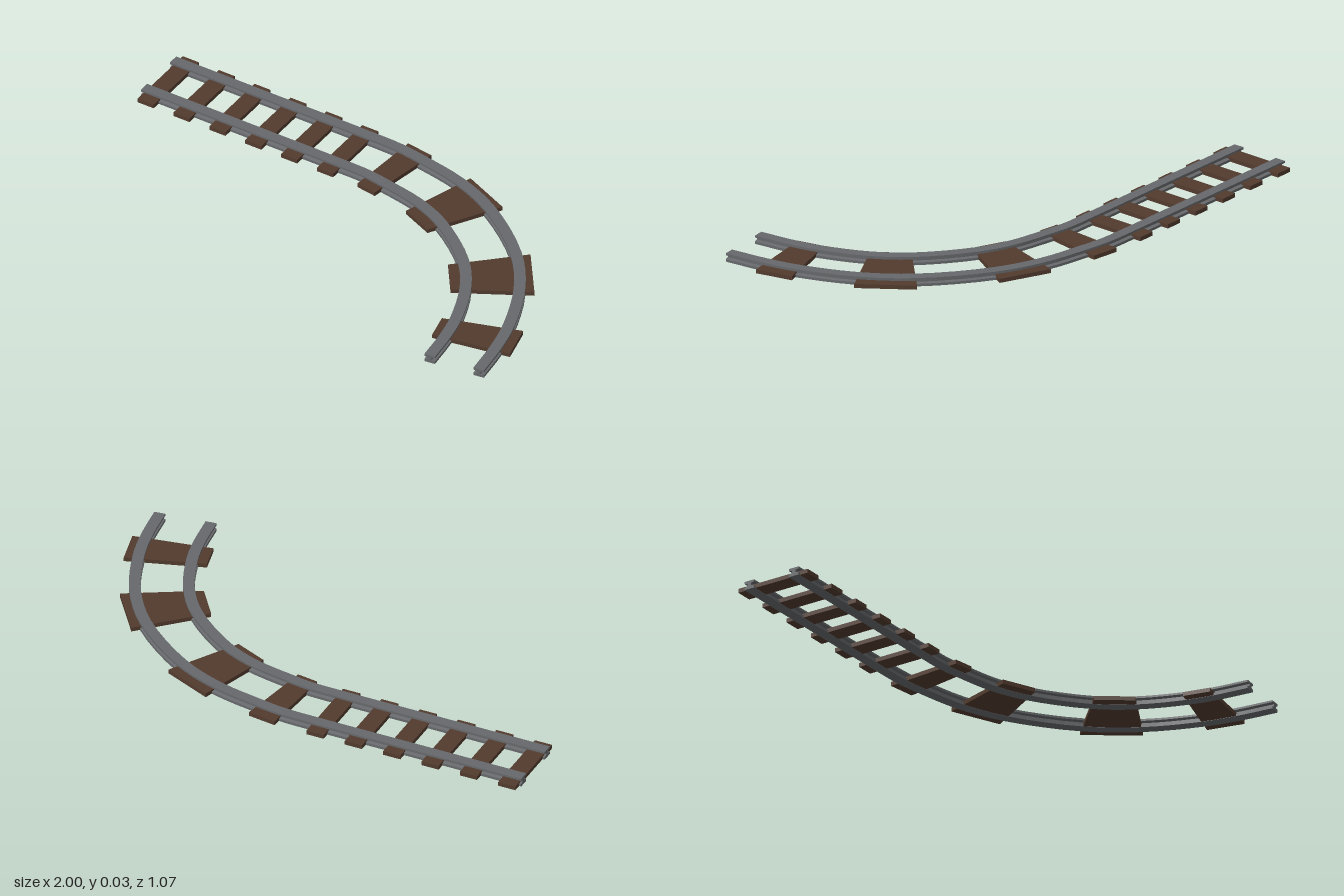
import * as THREE from 'three';

// Centreline stations (x, z): straight run, then both edges of each curved tie, then the end
const STATIONS = [
  [-1, -0.382], [-0.55, -0.382], [-0.176, -0.382],
  [-0.022, -0.379], [0.075, -0.365], [0.252, -0.329], [0.412, -0.26],
  [0.623, -0.096], [0.736, 0.059], [0.816, 0.252], [0.845, 0.375], [0.864, 0.52],
];
const LAST = STATIONS.length - 1;
const path = new THREE.CatmullRomCurve3(STATIONS.map(([x, z]) => new THREE.Vector3(x, 0, z)));

// Point and outward direction of the track at a station number (may be fractional)
function frameAt(s) {
  const p = path.getPoint(s / LAST);
  const t = path.getTangent(s / LAST);
  return { x: p.x, z: p.z, nx: t.z, nz: -t.x };
}

// Sweep a counter-clockwise profile of (offset, height) pairs through the frames, with end caps
function sweep(frames, profile) {
  const n = profile.length, pos = [], index = [];
  for (const f of frames) {
    for (const [o, y] of profile) pos.push(f.x + f.nx * o, y, f.z + f.nz * o);
  }
  for (let i = 0; i < frames.length - 1; i++) {
    for (let j = 0; j < n; j++) {
      const a = i * n + j, b = i * n + (j + 1) % n;
      index.push(a, b, b + n, a, b + n, a + n);
    }
  }
  const end = (frames.length - 1) * n;
  const caps = THREE.ShapeUtils.triangulateShape(profile.map(([o, y]) => new THREE.Vector2(o, y)), []);
  for (const [a, b, c] of caps) index.push(a, c, b, end + a, end + b, end + c);
  const indexed = new THREE.BufferGeometry();
  indexed.setAttribute('position', new THREE.Float32BufferAttribute(pos, 3));
  indexed.setIndex(index);
  const geo = indexed.toNonIndexed();
  geo.computeVertexNormals();
  return geo;
}

// I-shaped rail section centred on a track offset
function railProfile(c) {
  const w = 0.0215, web = 0.008;
  return [
    [-w, 0], [w, 0], [w, 0.01], [web, 0.013], [web, 0.022], [w, 0.025],
    [w, 0.033], [-w, 0.033], [-w, 0.025], [-web, 0.022], [-web, 0.013], [-w, 0.01],
  ].map(([o, y]) => [o + c, y]);
}

export function createModel() {
  const model = new THREE.Group();
  model.name = 'curvedTrack';
  const steel = new THREE.MeshStandardMaterial({ name: 'steelGrey', color: 0x66686b });
  const wood = new THREE.MeshStandardMaterial({ name: 'darkWood', color: 0x523b2e });
  const add = (name, geo, mat) => {
    const mesh = new THREE.Mesh(geo, mat);
    mesh.name = name;
    model.add(mesh);
    return mesh;
  };

  // Two rails following the centreline
  const frames = [];
  for (let i = 0; i <= LAST * 4; i++) frames.push(frameAt(i / 4));
  frames[0].nx = 0;
  frames[0].nz = -1;
  add('outerRail', sweep(frames, railProfile(0.099)), steel);
  add('innerRail', sweep(frames, railProfile(-0.099)), steel);

  // Ties on the straight run
  const tieGeo = new THREE.BoxGeometry(0.07, 0.016, 0.308);
  for (let i = 0; i < 6; i++) {
    add('straightTie', tieGeo, wood).position.set(-0.957 + i * 0.1562, 0.009, -0.381);
  }

  // Wedge-shaped ties stretched around the bend
  const tieProfile = [[-0.154, 0.001], [0.154, 0.001], [0.154, 0.017], [-0.154, 0.017]];
  for (const s of [3, 5, 7, 9]) {
    add('curvedTie', sweep([frameAt(s), frameAt(s + 1)], tieProfile), wood);
  }
  return model;
}
